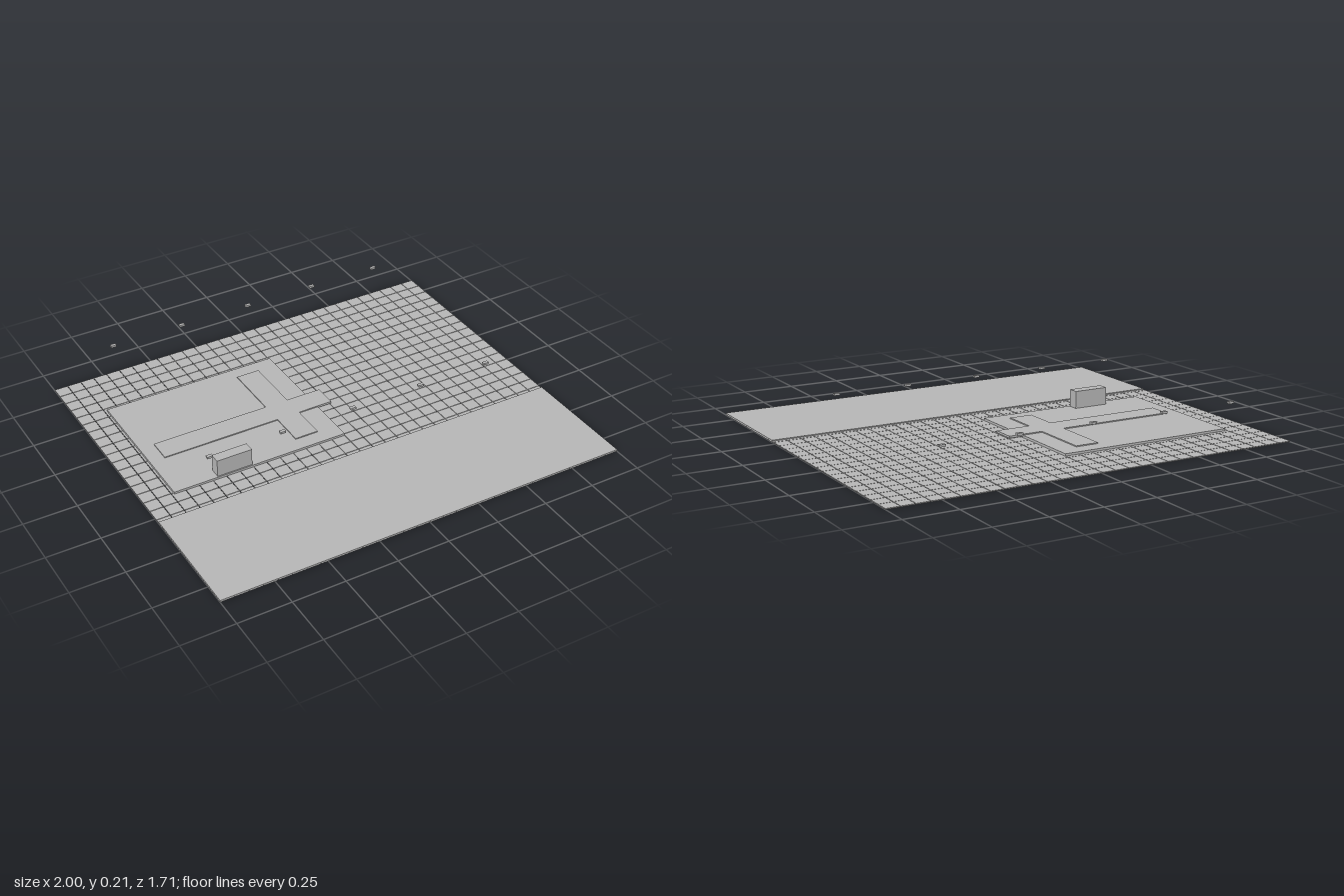
import * as THREE from 'three';
import { mergeGeometries } from 'three/addons/utils/BufferGeometryUtils.js';

const stone = new THREE.MeshStandardMaterial({ color: 0xb6b6b6 });
stone.name = 'plain grey';

// Box geometry given by its minimum and maximum on each axis
function span(x0, x1, y0, y1, z0, z1) {
  return new THREE.BoxGeometry(x1 - x0, y1 - y0, z1 - z0)
    .translate((x0 + x1) / 2, (y0 + y1) / 2, (z0 + z1) / 2);
}

export function createModel() {
  const model = new THREE.Group();
  model.name = 'tiledPlaza';

  function add(name, geometry) {
    const mesh = new THREE.Mesh(geometry, stone);
    mesh.name = name;
    model.add(mesh);
    return mesh;
  }

  const halfX = 1, halfZ = 0.857;

  // Floor of separate tiles with narrow open joints
  const columns = 30, rows = 26, gap = 0.003, tileTop = 0.0045;
  const width = (2 * halfX + gap) / columns;
  const depth = (2 * halfZ + gap) / rows;
  const tiles = [];
  for (let i = 0; i < columns; i++) {
    for (let j = 0; j < rows; j++) {
      const x = -halfX + i * width, z = -halfZ + j * depth;
      tiles.push(span(x, x + width - gap, 0, tileTop, z, z + depth - gap));
    }
  }
  add('floorTiles', mergeGeometries(tiles));

  // Smooth forecourt laid over the front third of the tiles
  add('forecourt', span(-halfX, halfX, 0.004, 0.0095, 0.286, halfZ));

  // Low platform
  add('platform', span(-0.857, 0, 0.004, 0.015, -0.571, 0.143));

  // Crossing raised walkways; the long one runs past the platform edge
  add('longWalkway', span(-0.786, 0.071, 0.01, 0.02, -0.214, -0.1));
  add('crossWalkwayBack', span(-0.214, -0.1, 0.01, 0.02, -0.5, -0.214));
  add('crossWalkwayFront', span(-0.214, -0.1, 0.01, 0.02, -0.1, 0.071));

  // Counter at the front of the platform
  add('counter', span(-0.643, -0.471, 0.014, 0.098, 0.086, 0.137));

  // Two rows of small hanging lamps
  const lamp = new THREE.BoxGeometry(0.027, 0.01, 0.016);
  for (const z of [-0.786, 0.214]) {
    for (let i = -2; i <= 2; i++) {
      add('hangingLamp', lamp).position.set(i * 0.357, 0.201, z);
    }
  }
  return model;
}
